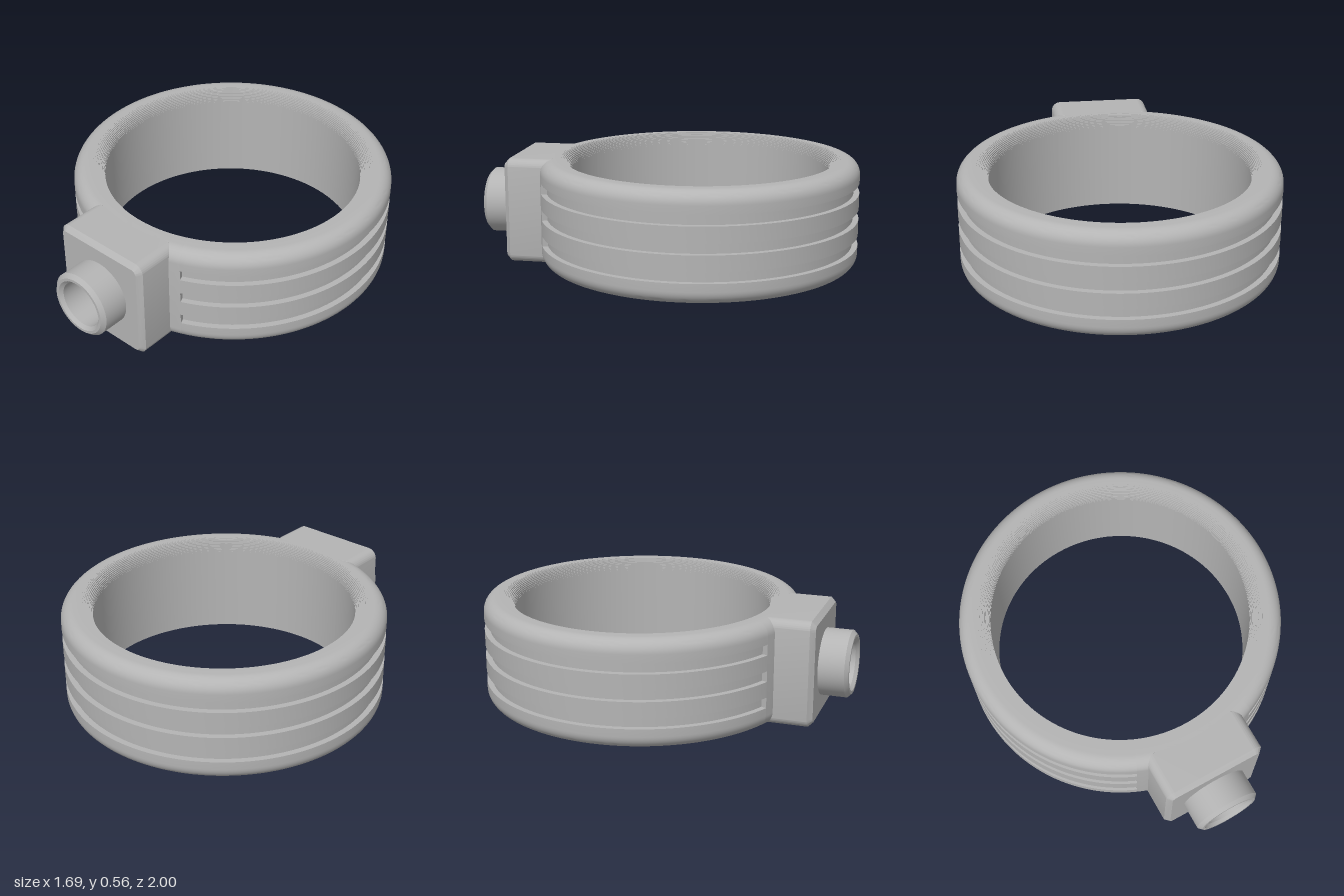
import * as THREE from 'three';
import { toCreasedNormals } from 'three/addons/utils/BufferGeometryUtils.js';

const H = 0.56, OUTER = 0.845, INNER = 0.68, FILLET = 0.07, CENTRE_Z = -0.155;
const GROOVE_DEPTH = 0.03, GROOVE_H = 0.056, GROOVES = [0.14, 0.28, 0.42];
const GROOVE_START = Math.asin(0.33 / OUTER);

// Closed cross-section of the band: up the outside, over the top, down the bore
function bandProfile(grooved) {
  const pts = [];
  const add = (r, y) => pts.push(new THREE.Vector2(r, y));
  const outerFillet = (cy, from) => {
    for (let i = 0; i <= 10; i++) {
      const a = from + (i / 10) * Math.PI / 2;
      add(OUTER - FILLET + FILLET * Math.cos(a), cy + FILLET * Math.sin(a));
    }
  };
  outerFillet(FILLET, -Math.PI / 2);
  if (grooved) {
    for (const y of GROOVES) {
      add(OUTER, y - GROOVE_H / 2);
      add(OUTER - GROOVE_DEPTH, y - GROOVE_H / 2);
      add(OUTER - GROOVE_DEPTH, y + GROOVE_H / 2);
      add(OUTER, y + GROOVE_H / 2);
    }
  }
  outerFillet(H - FILLET, 0);

  // finely stepped rounding at both rims of the bore
  const steps = [], n = 12;
  for (let i = 0; i < n; i++) {
    const a = (i / n) * Math.PI / 2, b = ((i + 1) / n) * Math.PI / 2;
    const r = INNER + FILLET * (1 - Math.sin(b));
    steps.push([r, FILLET * (1 - Math.cos(a))], [r, FILLET * (1 - Math.cos(b))]);
  }
  steps.forEach(([r, d]) => add(r, H - d));
  steps.reverse().forEach(([r, d]) => add(r, d));
  pts.push(pts[0].clone());
  return pts;
}

function roundedRect(w, h, r) {
  const s = new THREE.Shape(), x = w / 2, y = h / 2;
  s.absarc(x - r, -y + r, r, -Math.PI / 2, 0);
  s.absarc(x - r, y - r, r, 0, Math.PI / 2);
  s.absarc(-x + r, y - r, r, Math.PI / 2, Math.PI);
  s.absarc(-x + r, -y + r, r, Math.PI, Math.PI * 1.5);
  s.closePath();
  return s;
}

export function createModel() {
  const group = new THREE.Group();
  const grey = new THREE.MeshStandardMaterial({ color: 0xb4b4b4 });
  grey.name = 'plain grey';

  const add = (name, geometry, parent = group) => {
    const mesh = new THREE.Mesh(geometry, grey);
    mesh.name = name;
    parent.add(mesh);
    return mesh;
  };

  // Band: plain behind the block, grooved the rest of the way round
  const band = new THREE.Group();
  band.name = 'band';
  band.position.z = CENTRE_Z;
  group.add(band);
  const sector = (grooved, segments, start, length) => toCreasedNormals(
    new THREE.LatheGeometry(bandProfile(grooved), segments, start, length), 0.5);
  add('plainBand', sector(false, 24, -GROOVE_START, 2 * GROOVE_START), band);
  add('groovedBand', sector(true, 144, GROOVE_START, 2 * (Math.PI - GROOVE_START)), band);

  // End walls of the grooves
  for (const side of [-1, 1]) {
    for (const y of GROOVES) {
      const wall = add('grooveEnd', new THREE.PlaneGeometry(GROOVE_DEPTH, GROOVE_H), band);
      const r = OUTER - GROOVE_DEPTH / 2;
      wall.position.set(side * r * Math.sin(GROOVE_START), y, r * Math.cos(GROOVE_START));
      wall.rotation.y = side * (GROOVE_START + Math.PI / 2);
    }
  }

  // Mounting block with chamfered front and a bore for the spout
  const bevel = 0.025, back = 0.57, front = 0.845;
  const face = roundedRect(0.55 - 2 * bevel, H - 2 * bevel, 0.025);
  const bore = new THREE.Path();
  bore.absarc(0, 0, 0.16, 0, Math.PI * 2, true);
  face.holes.push(bore);
  const block = add('mountingBlock', toCreasedNormals(new THREE.ExtrudeGeometry(face, {
    depth: front - back - 2 * bevel, bevelEnabled: true, bevelSize: bevel,
    bevelThickness: bevel, bevelSegments: 1, curveSegments: 12,
  }), 0.5));
  block.position.set(0, H / 2, back + bevel);

  // Hollow spout with chamfered lip and blind bore
  const spoutProfile = [
    [0.175, 0.82], [0.175, 0.98], [0.155, 1], [0.14, 1], [0.123, 0.983], [0.123, 0.64], [0, 0.64],
  ].map(([r, z]) => new THREE.Vector2(r, z));
  const spout = add('spout', toCreasedNormals(new THREE.LatheGeometry(spoutProfile, 64), 0.5));
  spout.rotation.x = Math.PI / 2;
  spout.position.y = H / 2;

  return group;
}
